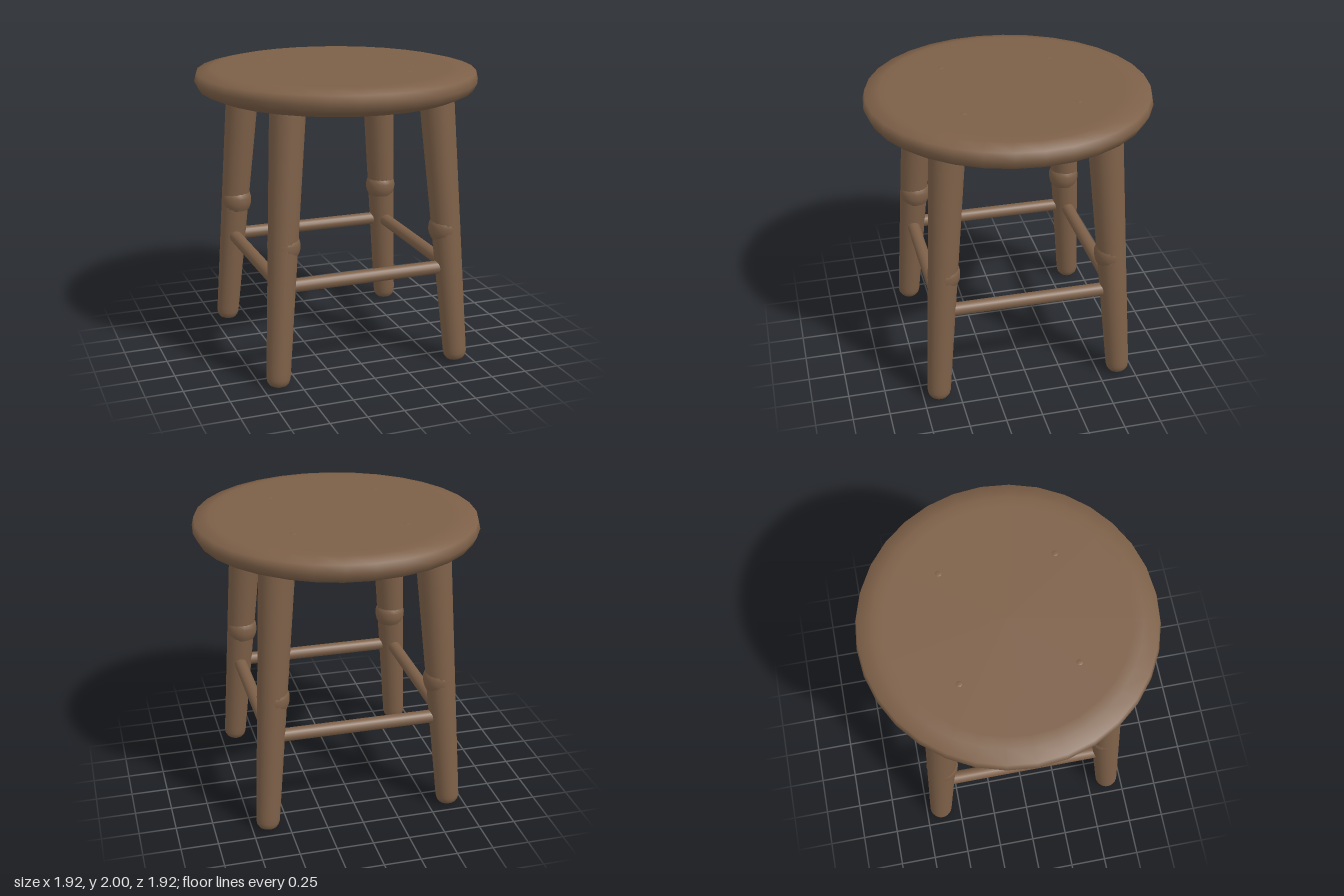
import * as THREE from 'three';

export function createModel() {
  const stool = new THREE.Group();
  stool.name = 'stool';
  const wood = new THREE.MeshStandardMaterial({ color: 0x7d6048 });
  wood.name = 'brown wood';

  const add = (name, geometry, parent = stool) => {
    const mesh = new THREE.Mesh(geometry, wood);
    mesh.name = name;
    parent.add(mesh);
    return mesh;
  };
  const lathe = (points, sides) =>
    new THREE.LatheGeometry(points.map(([r, y]) => new THREE.Vector2(r, y)), sides);

  // Round seat with a softly bevelled rim; the underside is a separate disc for a crisp edge
  add('seat', lathe([
    [0.85, 1.822], [0.935, 1.86], [0.962, 1.915], [0.948, 1.973],
    [0.85, 1.996], [0.78, 1.997], [0, 1.997],
  ], 32));
  const underside = add('seatUnderside', new THREE.CircleGeometry(0.85, 32));
  underside.rotation.set(Math.PI / 2, 0, 0);
  underside.position.y = 1.822;

  // Splayed, tapered leg with a rounded foot
  const legGeometry = lathe([
    [0, 0], [0.035, 0.002], [0.06, 0.014], [0.074, 0.034], [0.08, 0.06],
    [0.081, 0.1], [0.116, 1.8], [0.117, 1.87],
  ], 24);
  // Shallow turned collar around the middle of each leg
  const collarGeometry = lathe([
    [0.088, -0.072], [0.101, -0.045], [0.108, -0.015],
    [0.108, 0.02], [0.102, 0.045], [0.09, 0.065],
  ], 16);
  const pegGeometry = new THREE.SphereGeometry(0.024, 12, 8);

  for (const [sx, sz] of [[1, 1], [-1, 1], [-1, -1], [1, -1]]) {
    const foot = new THREE.Vector3(0.645 * sx, 0.005, 0.645 * sz);
    const top = new THREE.Vector3(0.513 * sx, 1.86, 0.513 * sz);
    const direction = top.clone().sub(foot).normalize();
    const name = (sz > 0 ? 'front' : 'back') + (sx > 0 ? 'Left' : 'Right');

    const leg = add(name + 'Leg', legGeometry);
    leg.position.copy(foot);
    leg.quaternion.setFromUnitVectors(new THREE.Vector3(0, 1, 0), direction);

    const collar = add(name + 'Collar', collarGeometry);
    collar.position.set(0.57 * sx, 0.95, 0.57 * sz);

    // Small flattened peg on the seat top
    const peg = add(name + 'Peg', pegGeometry);
    peg.position.set(0.376 * sx, 1.994, 0.376 * sz);
    peg.scale.y = 0.25;
  }

  // Four stretchers joining neighbouring legs
  const stretcherGeometry = new THREE.CylinderGeometry(0.045, 0.045, 1.16, 16);
  stretcherGeometry.rotateZ(Math.PI / 2);
  ['front', 'left', 'back', 'right'].forEach((side, i) => {
    const pivot = new THREE.Group();
    pivot.name = side + 'StretcherPivot';
    pivot.rotation.y = i * Math.PI / 2;
    stool.add(pivot);
    add(side + 'Stretcher', stretcherGeometry, pivot).position.set(0, 0.68, 0.597);
  });

  return stool;
}
